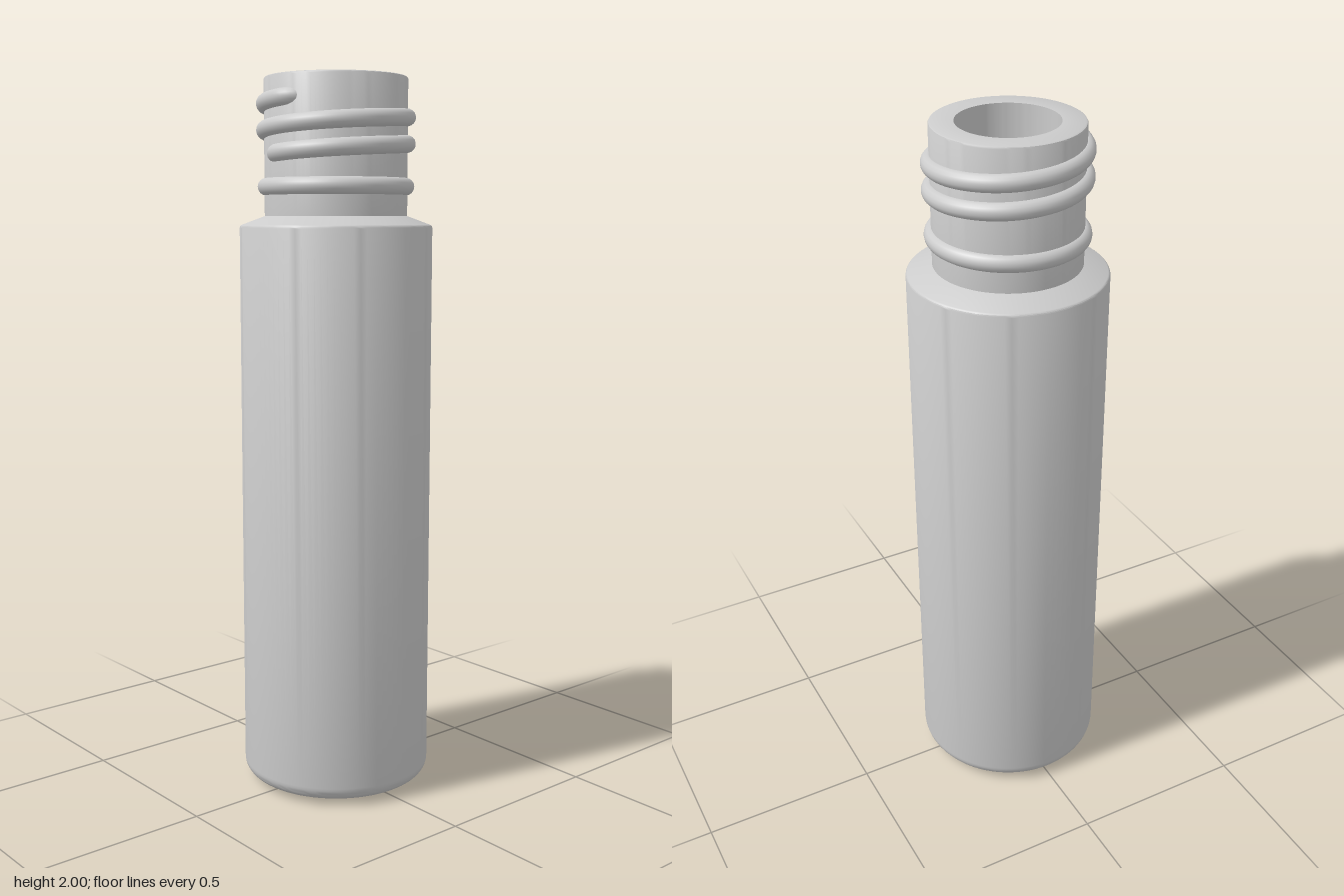
import * as THREE from 'three';
import { toCreasedNormals } from 'three/addons/utils/BufferGeometryUtils.js';

const NECK = 0.198, BORE = 0.134;

// Points of a quarter-type arc from angle a to angle b (radians)
function arc(cx, cy, rx, ry, a, b, n) {
  return Array.from({ length: n + 1 }, (_, i) => {
    const t = a + ((b - a) * i) / n;
    return [Math.max(0, cx + rx * Math.cos(t)), cy + ry * Math.sin(t)];
  });
}

// Screw thread: descends two turns from the front, sinking into the neck at both ends
class ThreadCurve extends THREE.Curve {
  getPoint(t, target = new THREE.Vector3()) {
    const lead = 0.34, sweep = Math.PI * 4 + lead * 2;
    const a = t * sweep - lead;
    const over = Math.max(0, -a, a - Math.PI * 4) / lead;
    const r = 0.196 - 0.031 * over * over;
    const y = 1.936 - (0.0712 * a) / (Math.PI * 2);
    return target.set(-Math.sin(a) * r, y, Math.cos(a) * r);
  }
}

export function createModel() {
  const model = new THREE.Group();
  const material = new THREE.MeshStandardMaterial({ color: 0xcccccc });
  const add = (name, geometry) => {
    const mesh = new THREE.Mesh(geometry, material);
    mesh.name = name;
    model.add(mesh);
    return mesh;
  };

  // Bottle wall: outside from base to rim, then down the bore to its round floor
  const profile = [
    [0, 0], [0.12, 0.001], [0.18, 0.007],
    ...arc(0.226, 0.054, 0.042, 0.042, -Math.PI * 0.46, 0, 8),
    [0.268, 1.592],
    ...arc(0.258, 1.592, 0.01, 0.01, 0, Math.PI * 0.38, 4),
    [NECK, 1.625],
    [NECK, 1.994], [NECK - 0.002, 1.998], [NECK - 0.006, 2],
    [BORE, 2],
    ...arc(0, 0.2, BORE, BORE, 0, -Math.PI / 2, 14),
  ].map(([x, y]) => new THREE.Vector2(x, y));
  add('bottle', toCreasedNormals(new THREE.LatheGeometry(profile, 96), 0.55));

  // Rounded bead under the thread
  const bead = add('neckBead', new THREE.TorusGeometry(0.193, 0.024, 16, 96));
  bead.rotation.x = Math.PI / 2;
  bead.position.y = 1.705;

  add('neckThread', new THREE.TubeGeometry(new ThreadCurve(), 240, 0.024, 16, false));

  return model;
}
